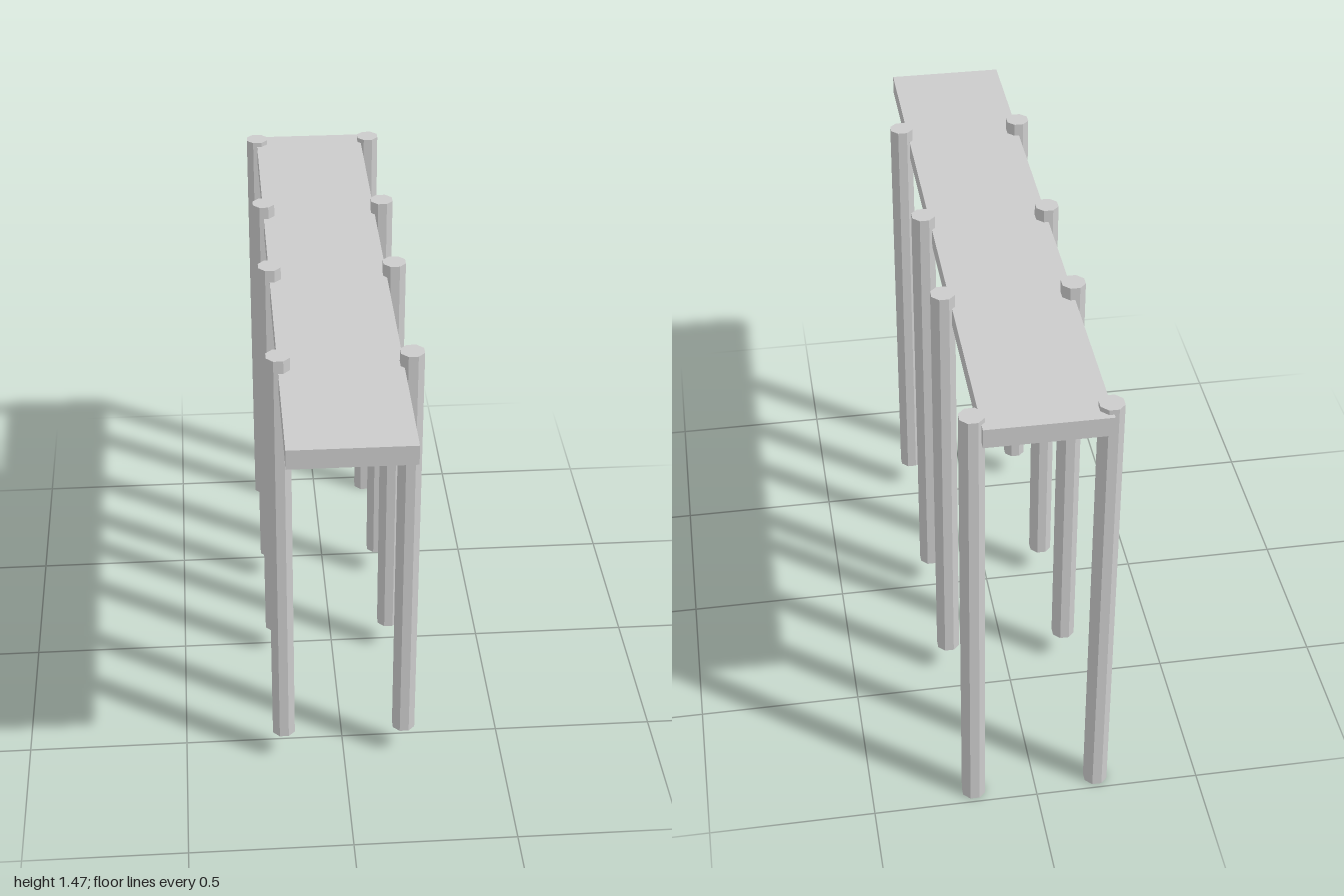
import * as THREE from 'three';

export function createModel() {
  const model = new THREE.Group();
  model.name = 'pier';
  const material = new THREE.MeshStandardMaterial({ color: 0xcccccc, flatShading: true });

  // Flat walkway, slightly off-centre between the posts
  const deck = new THREE.Mesh(new THREE.BoxGeometry(0.357, 0.06, 2), material);
  deck.name = 'deck';
  deck.position.set(-0.012, 1.4, 0);
  model.add(deck);

  // Octagonal posts in pairs: [z, bottom, top]; the rear pair sits lower
  const pairs = [
    [0.57, 0.1, 1.47],
    [0.03, 0.1, 1.47],
    [-0.4, 0.1, 1.47],
    [-0.952, 0, 1.445],
  ];
  pairs.forEach(([z, bottom, top], i) => {
    for (const side of [1, -1]) {
      const geometry = new THREE.CylinderGeometry(0.037, 0.037, top - bottom, 8);
      geometry.rotateY(Math.PI / 8);
      const post = new THREE.Mesh(geometry, material);
      post.name = `${side > 0 ? 'left' : 'right'}Post${i + 1}`;
      post.position.set(side * 0.19, (top + bottom) / 2, z);
      model.add(post);
    }
  });

  return model;
}
